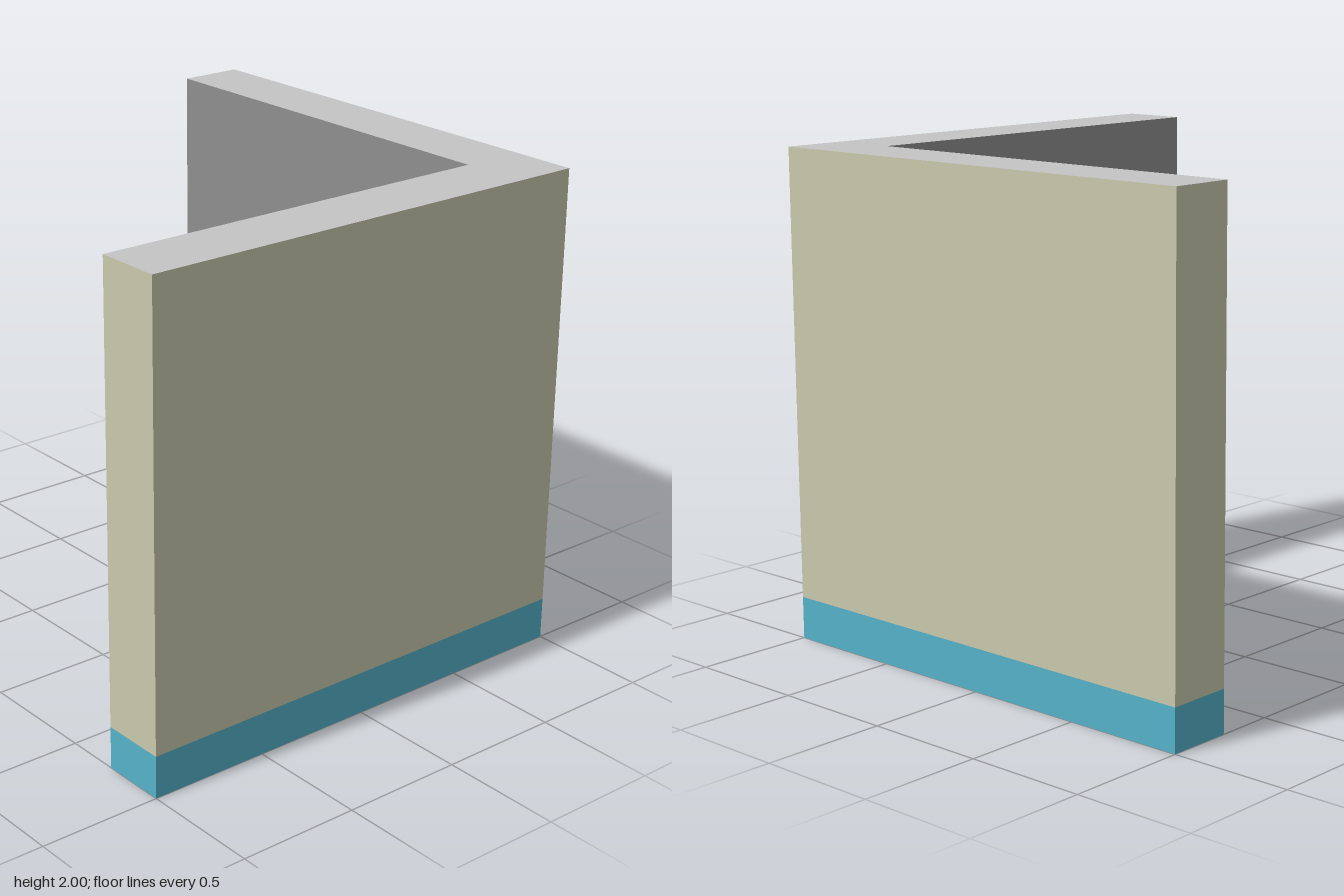
import * as THREE from 'three';

const HEIGHT = 2, BASE = 0.173;

function material(name, color) {
  const m = new THREE.MeshStandardMaterial({ color, side: THREE.DoubleSide });
  m.name = name;
  return m;
}

export function createModel() {
  const plaster = material('cream plaster', 0xc9c9ae);
  const skirting = material('blue skirting', 0x55b2c9);
  const inner = material('inner grey', 0x8f8f8f);
  const cap = material('top grey', 0xc4c4c4);

  const group = new THREE.Group();
  group.name = 'cornerWall';

  // Upright panel from plan point a to plan point b, facing outward
  function panel(name, [ax, az], [bx, bz], y0, y1, mat) {
    const geo = new THREE.PlaneGeometry(Math.hypot(bx - ax, bz - az), y1 - y0);
    const mesh = new THREE.Mesh(geo, mat);
    mesh.name = name;
    mesh.position.set((ax + bx) / 2, (y0 + y1) / 2, (az + bz) / 2);
    mesh.rotation.y = Math.atan2(az - bz, bx - ax);
    group.add(mesh);
  }

  // L-shaped plan as [x, z], each with the name of the side that starts there
  const plan = [[1, 1], [1, -1], [-1, -1], [-1, -0.733], [0.727, -0.733], [0.727, 1]];
  const sides = ['leftWall', 'backWall', 'rightEnd', 'innerBack', 'innerLeft', 'frontEnd'];

  sides.forEach((name, i) => {
    const a = plan[i], b = plan[(i + 1) % plan.length];
    if (name.startsWith('inner')) {
      panel(name, a, b, 0, HEIGHT, inner);
    } else {
      panel(name, a, b, BASE, HEIGHT, plaster);
      panel(name + 'Skirting', a, b, 0, BASE, skirting);
    }
  });

  // Top closes the hollow wall; the bottom stays open
  const shape = new THREE.Shape(plan.map(([x, z]) => new THREE.Vector2(x, -z)));
  const top = new THREE.Mesh(new THREE.ShapeGeometry(shape), cap);
  top.name = 'wallTop';
  top.rotation.x = -Math.PI / 2;
  top.position.y = HEIGHT;
  group.add(top);

  return group;
}
